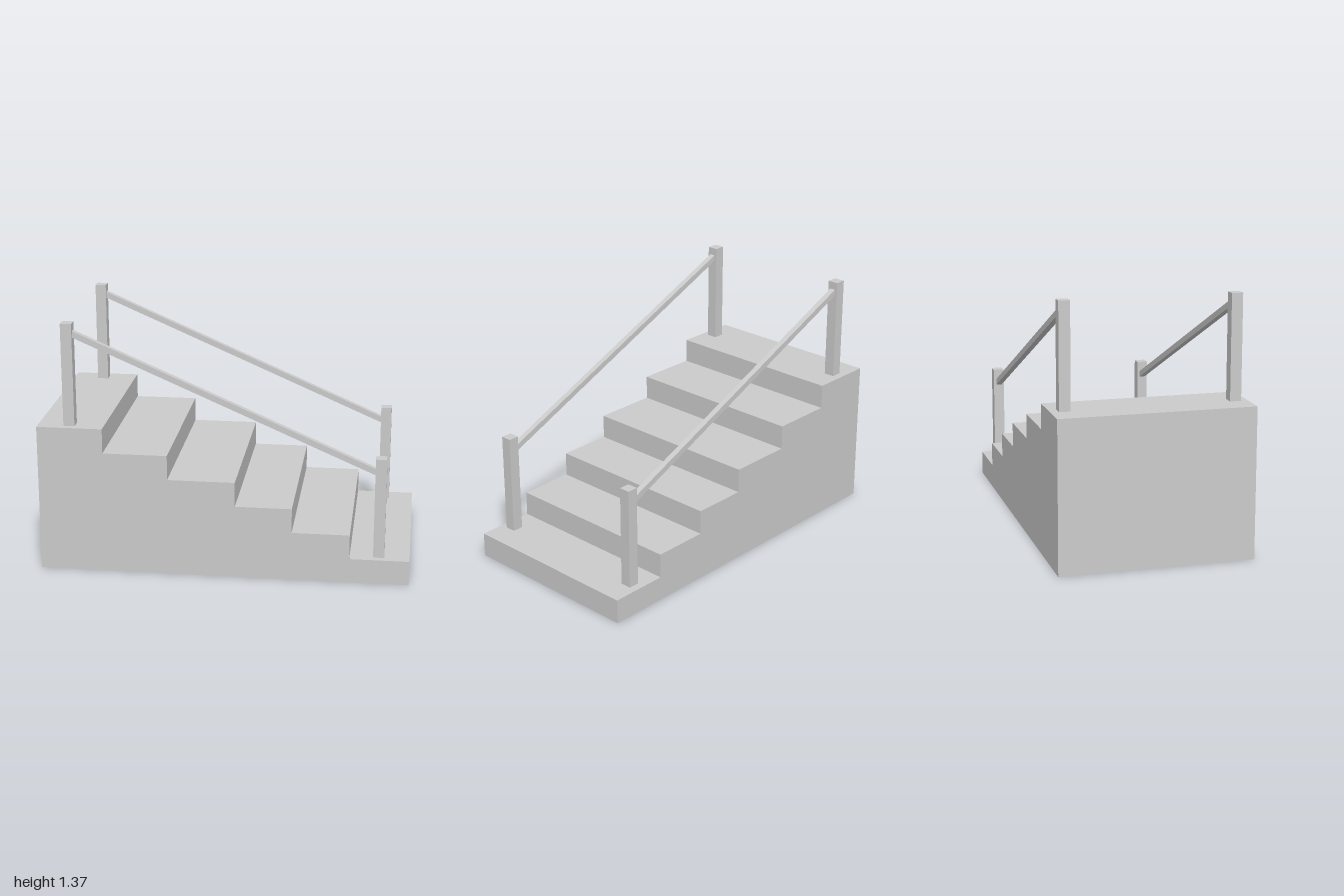
import * as THREE from 'three';

export function createModel() {
  const group = new THREE.Group();
  const material = new THREE.MeshStandardMaterial({ color: 0xcccccc, flatShading: true });

  const add = (name, geometry, x, y, z) => {
    const mesh = new THREE.Mesh(geometry, material);
    mesh.name = name;
    mesh.position.set(x, y, z);
    group.add(mesh);
    return mesh;
  };

  // Solid flight of steps: stepped side profile extruded across the width
  const rise = 0.135, width = 1.04;
  const treadEdges = [1, 0.68, 0.37, 0.065, -0.298, -0.645, -1];
  const profile = new THREE.Shape();
  profile.moveTo(-1, 0);
  profile.lineTo(1, 0);
  for (let i = 0; i < treadEdges.length - 1; i++) {
    const y = rise * (i + 1);
    profile.lineTo(treadEdges[i], y);
    profile.lineTo(treadEdges[i + 1], y);
  }
  const steps = new THREE.ExtrudeGeometry(profile, { depth: width, bevelEnabled: false });
  add('steps', steps, 0, 0, -width / 2);

  // Square posts and a sloping rail on each side
  const post = 0.06, thickness = 0.032;
  const railTop = new THREE.Vector2(-0.808, 1.314);
  const railBottom = new THREE.Vector2(0.812, 0.612);
  const slope = railBottom.clone().sub(railTop);

  for (const [side, z] of [['left side', -0.447], ['right side', 0.453]]) {
    const upperHeight = 1.37 - rise * 6, lowerHeight = 0.69 - rise;
    add(`${side} upper post`, new THREE.BoxGeometry(post, upperHeight, post),
      -0.83, rise * 6 + upperHeight / 2, z);
    add(`${side} lower post`, new THREE.BoxGeometry(post, lowerHeight, post),
      0.835, rise + lowerHeight / 2, z);
    const rail = add(`${side} handrail`, new THREE.BoxGeometry(slope.length(), thickness, thickness),
      (railTop.x + railBottom.x) / 2, (railTop.y + railBottom.y) / 2, z);
    rail.rotation.z = Math.atan2(slope.y, slope.x);
  }

  return group;
}
